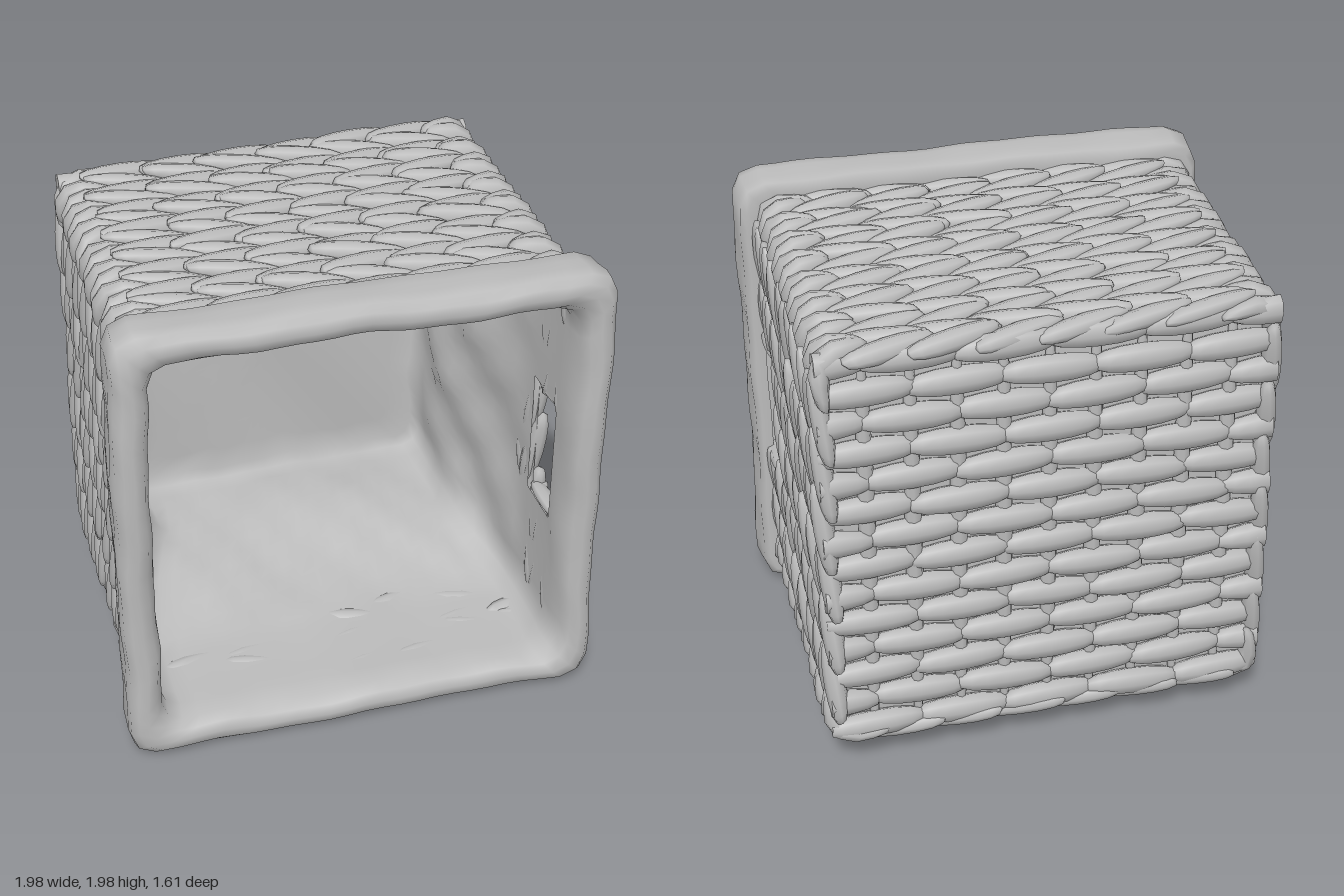
import * as THREE from 'three';
import { mergeGeometries, mergeVertices } from 'three/addons/utils/BufferGeometryUtils.js';

const { lerp, clamp, smoothstep } = THREE.MathUtils;
const SIDE_STEPS = 24, STEPS = SIDE_STEPS * 4;
const HOLE = 0.26, HOLE_BACK = 0.33;        // handle opening: half height, rear edge
const WALL = 0.88, CORNER = 0.07;           // mid-depth of the woven wall
const PERIMETER = 4 * (2 * (WALL - CORNER) + CORNER * Math.PI / 2);

// Small repeatable random numbers
let seed = 7;
const jitter = (a) => {
  seed = (seed * 16807) % 2147483647;
  return (seed / 2147483647 - 0.5) * 2 * a;
};

// Point on a rounded square; t runs clockwise from the middle of the +x side
function ring(t, h, r) {
  const q = Math.floor(4 * t + 0.5), f = h - r;
  const d = (4 * t - q) * (2 * f + r * Math.PI / 2);
  let x = h, y = -d;
  if (Math.abs(d) > f) {
    const a = (Math.abs(d) - f) / r;
    x = f + r * Math.cos(a);
    y = -Math.sign(d) * (f + r * Math.sin(a));
  }
  for (let i = 0; i < ((q % 4) + 4) % 4; i++) [x, y] = [y, -x];
  return [x, y];
}

// Gentle taper and lean of the whole basket
function warp(x, y, z) {
  const k = clamp((z + 0.8) / 1.4, 0, 1);
  return [
    x * lerp(0.985, 1.0, k) + 0.035 * (0.7 - z) / 1.5,
    0.99 + 0.025 * (1 - k) + y * lerp(0.975, 1.005, k),
    z + 0.03 * x * (z + 0.8) / 1.4,
  ];
}

// Skin through rounded-square sections [half size, z, wrinkle], leaving out handle openings
function loft(rows, radius, holeRow) {
  const pos = [], index = [];
  rows.forEach(([h, z, wrinkle = 0]) => {
    for (let j = 0; j < STEPS; j++) {
      const t = j / STEPS, w = t * Math.PI * 2;
      const fold = Math.sin(w * 5 + z * 6) * 0.5 + Math.sin(w * 11 - z * 9 + 1) * 0.35
        + Math.sin(w * 23 + z * 17) * 0.25;
      const size = h + wrinkle * fold;
      const [x, y] = ring(t, size, Math.min(radius, size * 0.9));
      pos.push(...warp(x, y, z + wrinkle * 0.5 * Math.sin(x * 7 + y * 5)));
    }
  });
  for (let i = 0; i < rows.length - 1; i++) {
    for (let j = 0; j < STEPS; j++) {
      const m = (j + 4) % (STEPS / 2);
      if (i === holeRow && m < 8) continue;
      const a = i * STEPS + j, b = i * STEPS + (j + 1) % STEPS;
      index.push(a, a + STEPS, b, b, a + STEPS, b + STEPS);
    }
  }
  const g = new THREE.BufferGeometry();
  g.setAttribute('position', new THREE.Float32BufferAttribute(pos, 3));
  g.setIndex(index);
  g.computeVertexNormals();
  return g;
}

// One flattened strand; map takes (along, outward, across) into basket space
function strand(halfLength, halfThick, halfWidth, map) {
  let g = new THREE.SphereGeometry(1, 8, 8).rotateZ(-Math.PI / 2);
  g.deleteAttribute('uv');
  g.deleteAttribute('normal');
  g = mergeVertices(g);
  const p = g.attributes.position;
  for (let i = 0; i < p.count; i++) {
    const y = p.getY(i), z = p.getZ(i);
    const full = Math.max(Math.hypot(y, z), 0.01) ** -0.3;
    p.setXYZ(i, ...warp(...map(p.getX(i) * halfLength, y * full * halfThick, z * full * halfWidth)));
  }
  g.computeVertexNormals();
  return g;
}

// Braided rings forming the four walls
function wallWeave() {
  const parts = [], columns = 16, perRing = 28, pitch = PERIMETER / perRing;
  const half = PERIMETER / 2;
  for (let i = 0; i < columns; i++) {
    const zc = -0.735 + i * 0.0845, lean = i % 2 ? 1 : -1, open = zc > HOLE_BACK;
    for (let k = 0; k < perRing; k++) {
      const s0 = (k + 0.5) * pitch;
      const near = s0 - Math.round(s0 / half) * half;
      if (open && Math.abs(near) < HOLE) continue;
      const lift = jitter(0.008), slope = lean * (0.2 + jitter(0.04)), base = s0 - near;
      parts.push(strand(0.185 + jitter(0.015), 0.042, 0.05, (a, n, w) => {
        let s = near + a;
        if (open && Math.abs(s) < HOLE) s = Math.sign(near) * HOLE;
        // one end rides over its neighbour, the other tucks under
        const out = n + lift - a * 0.09;
        const [x, y] = ring((base + s) / PERIMETER, WALL + out, CORNER + out);
        return [x, y, zc + w + a * slope];
      }));
    }
  }
  return mergeGeometries(parts);
}

// Staggered horizontal strands on the closed end
function backWeave() {
  const parts = [], rows = 14, pitch = 0.36;
  for (let r = 0; r < rows; r++) {
    const yc = -0.845 + r * 0.13;
    for (let k = -3; k <= 3; k++) {
      const xc = k * pitch + (r % 2 ? pitch / 2 : 0);
      if (Math.abs(xc) > 0.95) continue;
      const tilt = jitter(0.04), lift = jitter(0.008);
      parts.push(strand(0.205, 0.046, 0.062, (a, n, w) =>
        [clamp(xc + a, -0.9, 0.9), yc + w + a * tilt, -0.745 - n - lift]));
    }
  }
  return mergeGeometries(parts);
}

// Upright stakes showing between the back strands
function backStakes() {
  const parts = [];
  for (let k = -4; k <= 4; k++) {
    parts.push(strand(0.88, 0.03, 0.035, (a, n, w) => [k * 0.18 + w, -a, -0.735 - n]));
  }
  return mergeGeometries(parts);
}

// Wrapped bars above and below each handle opening
function handleBars() {
  const parts = [];
  for (const side of [0, 0.5]) {
    for (const end of [-1, 1]) {
      parts.push(strand(0.14, 0.045, 0.028, (a, n, w) => {
        const t = side + (end * (HOLE + 0.015) + w) / PERIMETER;
        return [...ring(t, WALL + n, CORNER + n), 0.45 - a];
      }));
    }
  }
  return mergeGeometries(parts);
}

// Cloth liner: folded cuff, then loose sides and floor inside
function linerRows() {
  const rows = [
    [0.9, 0.535, 0.004], [0.945, 0.53, 0.006], [0.968, 0.55, 0.008], [0.972, 0.61, 0.01],
    [0.978, 0.68, 0.01], [0.972, 0.73, 0.01], [0.945, 0.762, 0.012], [0.905, 0.77, 0.014],
    [0.865, 0.755, 0.014], [0.84, 0.71, 0.012], [0.83, 0.63, 0.008],
    [0.838, 0.555, 0], [0.838, HOLE_BACK, 0],
  ];
  for (let i = 1; i <= 12; i++) {
    const k = i / 12;
    rows.push([lerp(0.835, 0.69, smoothstep(k, 0, 0.8)), lerp(HOLE_BACK, -0.62, k),
      0.03 * Math.sin(k * Math.PI) + 0.008]);
  }
  for (const h of [0.66, 0.55, 0.42, 0.28, 0.14, 0.002]) rows.push([h, -0.655, h > 0.1 ? 0.022 : 0]);
  return rows;
}

export function createModel() {
  const fibre = new THREE.MeshStandardMaterial({ color: 0xbababa, side: THREE.DoubleSide });
  fibre.name = 'plain grey';
  const basket = new THREE.Group();
  basket.name = 'wovenBasket';
  const add = (name, geometry) => {
    const mesh = new THREE.Mesh(geometry, fibre);
    mesh.name = name;
    basket.add(mesh);
  };
  const core = [[0.002, -0.72], [0.5, -0.72], [0.84, -0.72], [0.862, -0.69], [0.862, 0],
    [0.862, HOLE_BACK], [0.862, 0.555], [0.862, 0.6]];
  add('basketCore', loft(core, 0.06, 5));
  add('wallWeave', wallWeave());
  add('backWeave', backWeave());
  add('backStakes', backStakes());
  add('handleBars', handleBars());
  add('clothLiner', loft(linerRows(), 0.1, 11));
  return basket;
}
